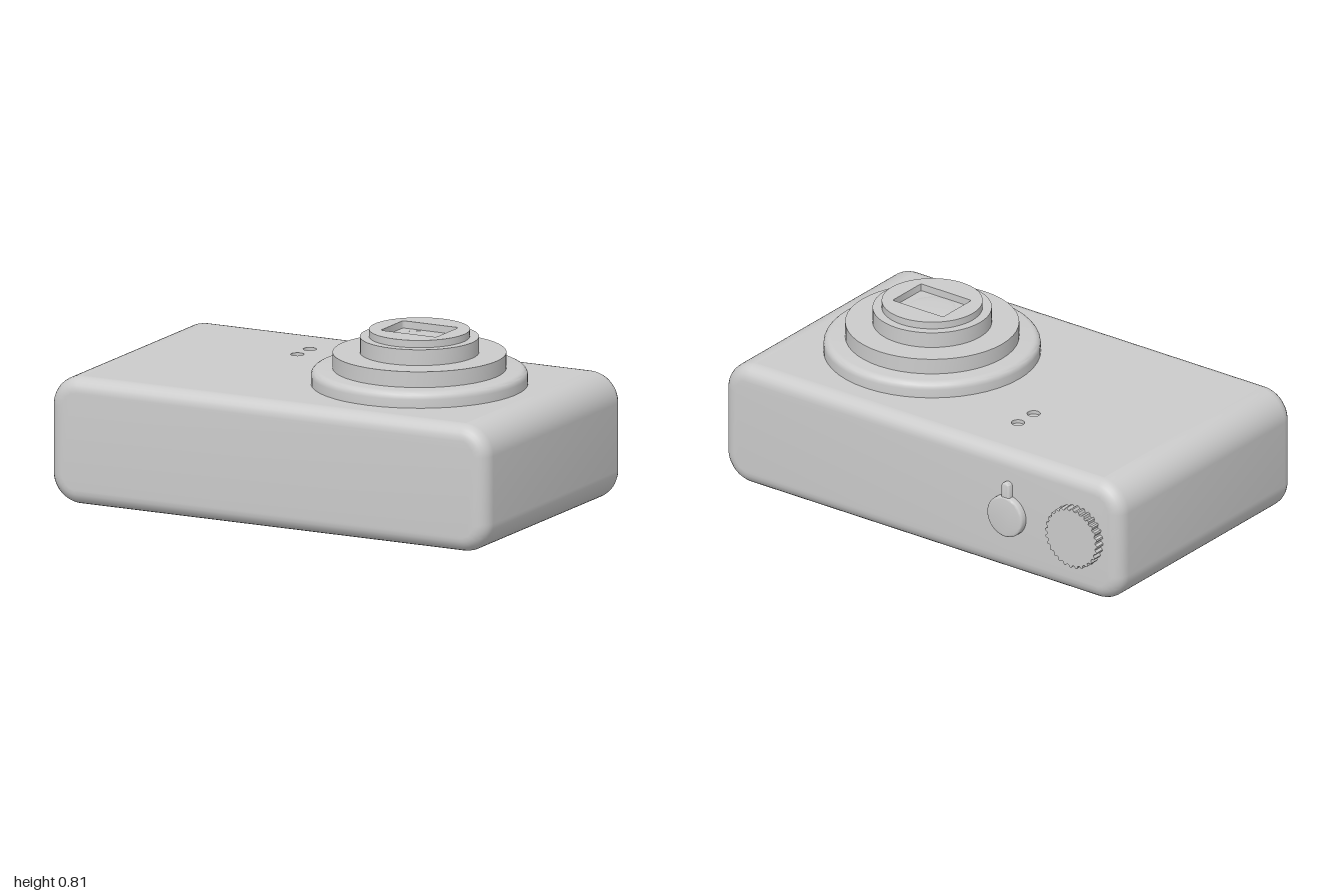
import * as THREE from 'three';
import { toCreasedNormals } from 'three/addons/utils/BufferGeometryUtils.js';

const material = new THREE.MeshStandardMaterial({ color: 0xcccccc });
const TOP = 0.58, BOTTOM = 0.055, BACK = -0.56, FRONT = 0.6;

function part(parent, name, geometry, x = 0, y = 0, z = 0) {
  const mesh = new THREE.Mesh(toCreasedNormals(geometry, 0.6), material);
  mesh.name = name;
  mesh.position.set(x, y, z);
  parent.add(mesh);
  return mesh;
}

// Rounded rectangle between two corners
function roundRect(x0, y0, x1, y1, r, Type = THREE.Shape) {
  const s = new Type(), q = Math.PI / 2;
  s.absarc(x1 - r, y0 + r, r, -q, 0);
  s.absarc(x1 - r, y1 - r, r, 0, q);
  s.absarc(x0 + r, y1 - r, r, q, 2 * q);
  s.absarc(x0 + r, y0 + r, r, 2 * q, 3 * q);
  s.closePath();
  return s;
}

function circle(x, y, r, Type = THREE.Shape) {
  const s = new Type();
  s.absarc(x, y, r, 0, Math.PI * 2);
  return s;
}

// Outline in (x, z), thickened downwards from y = 0
function slab(shape, depth, curveSegments = 12) {
  return new THREE.ExtrudeGeometry(shape, { depth, bevelEnabled: false, curveSegments }).rotateX(Math.PI / 2);
}

// Drop the flat face at height y; returns the remaining geometry and the removed rectangle
function cutFace(geometry, y) {
  const p = geometry.attributes.position, keep = [], box = new THREE.Box3(), v = new THREE.Vector3();
  for (let i = 0; i < p.count; i += 3) {
    const flat = [0, 1, 2].every((k) => Math.abs(p.getY(i + k) - y) < 1e-4);
    for (let k = 0; k < 3; k++) {
      v.fromBufferAttribute(p, i + k);
      if (flat) box.expandByPoint(v);
      else keep.push(v.x, v.y, v.z);
    }
  }
  const rest = new THREE.BufferGeometry();
  rest.setAttribute('position', new THREE.Float32BufferAttribute(keep, 3));
  rest.computeVertexNormals();
  return { rest, box };
}

function rectFromBox({ min, max }) {
  return new THREE.Shape([[min.x, min.z], [max.x, min.z], [max.x, max.z], [min.x, max.z]]
    .map(([x, z]) => new THREE.Vector2(x, z)));
}

function addBody(g) {
  const bevel = 0.06;
  const shell = new THREE.ExtrudeGeometry(
    roundRect(-1 + bevel, BOTTOM + bevel, 1 - bevel, TOP - bevel, 0.065),
    { depth: FRONT - BACK - 2 * bevel, bevelThickness: bevel, bevelSize: bevel, bevelSegments: 6, curveSegments: 8 }
  ).translate(0, 0, BACK + bevel);
  const upper = cutFace(shell, TOP);
  const lower = cutFace(upper.rest, BOTTOM);
  part(g, 'bodyShell', lower.rest);

  // Lens-side plate with two small round sensor wells
  const face = rectFromBox(upper.box);
  for (const z of [-0.305, -0.2]) face.holes.push(circle(-0.295, z, 0.027, THREE.Path));
  part(g, 'lensSidePlate', slab(face, 0.02), 0, TOP, 0);
  for (const z of [-0.305, -0.2]) {
    part(g, 'sensorWindow', new THREE.CylinderGeometry(0.03, 0.03, 0.01, 24), -0.295, TOP - 0.02, z);
  }

  // Screen-side plate with a sunken display and a switch slot
  const rear = rectFromBox(lower.box);
  rear.holes.push(roundRect(-0.29, -0.45, 0.78, 0.445, 0.05, THREE.Path));
  rear.holes.push(roundRect(-0.84, -0.165, -0.59, -0.095, 0.01, THREE.Path));
  part(g, 'screenSidePlate', slab(rear, 0.02), 0, BOTTOM + 0.02, 0);
  part(g, 'displayScreen', new THREE.BoxGeometry(1.1, 0.01, 0.92), 0.245, BOTTOM + 0.02, 0);
  part(g, 'switchSlotFloor', new THREE.BoxGeometry(0.27, 0.01, 0.09), -0.715, BOTTOM + 0.025, -0.13);
}

function addLens(g) {
  const lens = new THREE.Group();
  lens.name = 'lens';
  lens.position.set(0.38, 0, 0.018);
  g.add(lens);

  // Mounting ring with a rounded rim
  const rim = [new THREE.Vector2(0.437, TOP - 0.01)];
  for (let i = 0; i <= 5; i++) {
    const a = (i / 5) * Math.PI / 2;
    rim.push(new THREE.Vector2(0.407 + 0.03 * Math.cos(a), 0.615 + 0.03 * Math.sin(a)));
  }
  rim.push(new THREE.Vector2(0, 0.645));
  part(lens, 'lensBaseRing', new THREE.LatheGeometry(rim, 48));

  // Telescoping barrels
  for (const [r, y0, y1] of [[0.35, 0.64, 0.71], [0.24, 0.7, 0.775]]) {
    part(lens, 'lensBarrel', new THREE.CylinderGeometry(r, r, y1 - y0, 48), 0, (y0 + y1) / 2, 0);
  }

  // Front ring with a rectangular opening and shallow glass
  const ring = circle(0, 0, 0.203);
  ring.holes.push(roundRect(-0.127, -0.096, 0.127, 0.094, 0.01, THREE.Path));
  part(lens, 'lensFrontRing', slab(ring, 0.03, 48), 0, 0.805, 0);
  part(lens, 'lensGlass', new THREE.SphereGeometry(0.095, 32, 8, 0, Math.PI * 2, 0, Math.PI / 2).scale(1, 0.04, 1), 0, 0.775, 0);
}

function addRearControls(g) {
  part(g, 'thumbPanel', slab(roundRect(-0.84, -0.43, -0.36, -0.2, 0.02), 0.02), 0, BOTTOM + 0.007, 0);
  part(g, 'slideSwitch', new THREE.BoxGeometry(0.05, 0.05, 0.05), -0.812, 0.055, -0.13);

  // Stepped conical pad
  const pad = [[0, 0], [0.04, 0], [0.09, 0.03], [0.125, 0.03], [0.125, 0.06]];
  pad[3] = [0.118, 0.046];
  part(g, 'conicalPad', new THREE.LatheGeometry(pad.map(([x, y]) => new THREE.Vector2(x, y)), 32), -0.645, 0, 0.113);

  for (let i = 0; i < 3; i++) {
    part(g, 'smallButton', new THREE.CylinderGeometry(0.025, 0.025, 0.02, 20), -0.7 - i * 0.057, 0.053, 0.428);
  }
}

function addEdgeControls(g) {
  // Ridged dial
  const teeth = 28, dial = new THREE.Shape();
  for (let i = 0; i < teeth * 4; i++) {
    const a = (i / (teeth * 4)) * Math.PI * 2;
    const r = i % 4 < 2 ? 0.131 : 0.121;
    dial[i ? 'lineTo' : 'moveTo'](Math.cos(a) * r, Math.sin(a) * r);
  }
  part(g, 'modeDial', new THREE.ExtrudeGeometry(dial, { depth: 0.05, bevelEnabled: false }), -0.785, 0.32, -0.6);

  // Round release button with a small lever
  const options = { depth: 0.03, bevelThickness: 0.008, bevelSize: 0.008, bevelSegments: 3, curveSegments: 20 };
  part(g, 'releaseButton', new THREE.ExtrudeGeometry(circle(0, 0, 0.08), options), -0.44, 0.31, -0.582);
  part(g, 'zoomLever', new THREE.ExtrudeGeometry(roundRect(-0.012, 0.04, 0.012, 0.142, 0.0115), options), -0.44, 0.31, -0.578);
}

export function createModel() {
  const g = new THREE.Group();
  g.name = 'compactCamera';
  addBody(g);
  addLens(g);
  addRearControls(g);
  addEdgeControls(g);
  return g;
}
